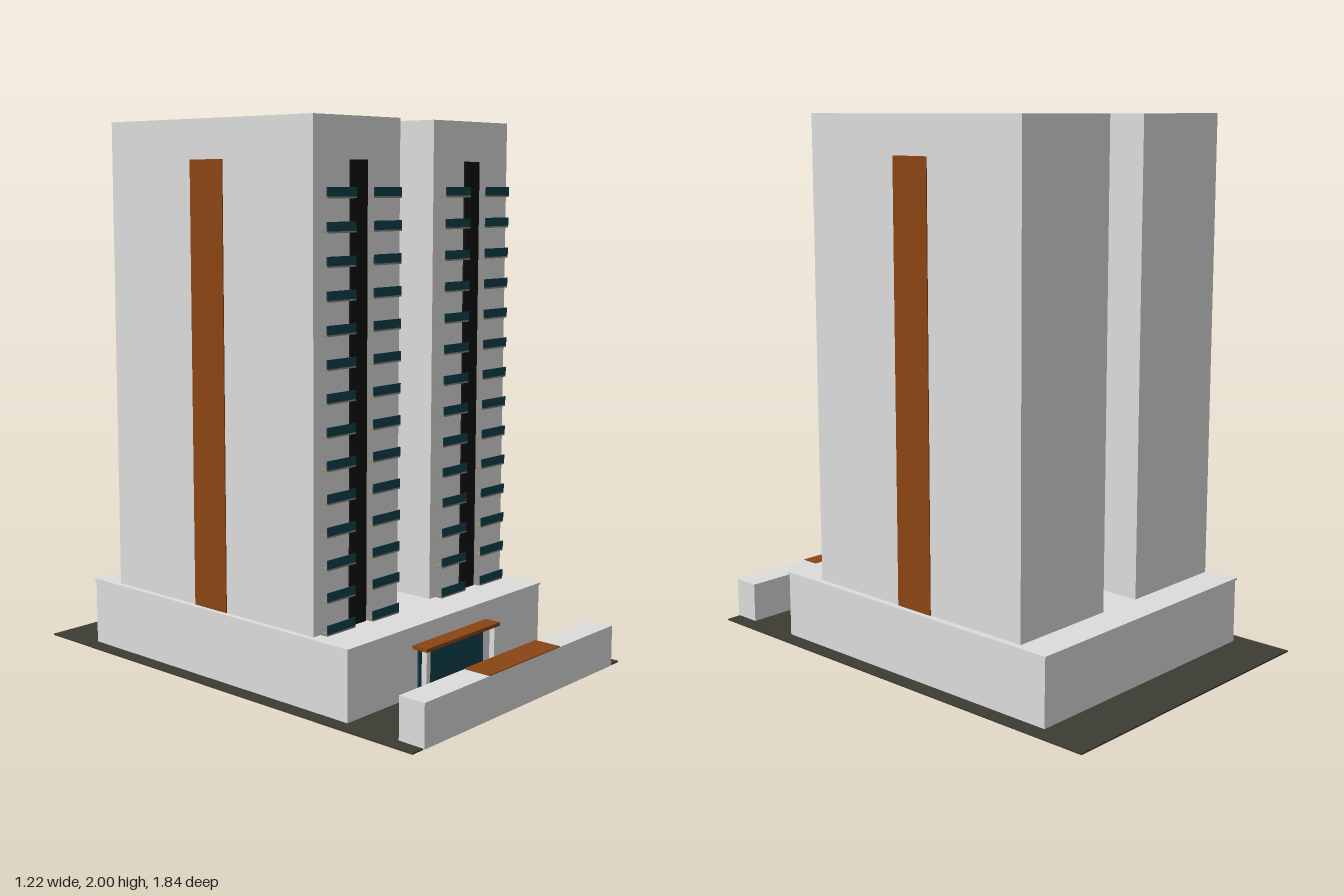
import * as THREE from 'three';

const paint = (name, color) => {
  const m = new THREE.MeshStandardMaterial({ color });
  m.name = name;
  return m;
};

export function createModel() {
  const concrete = paint('pale concrete', 0xdcdcdc);
  const asphalt = paint('dark paving', 0x3c3c33);
  const timber = paint('rust brown cladding', 0x8b4513);
  const glass = paint('teal glass', 0x103f4e);
  const black = paint('black glazing', 0x101010);
  const slab = paint('balcony stone', 0x8b8878);

  const model = new THREE.Group();
  model.name = 'twinTowerBuilding';

  // Box given by its minimum and maximum on each axis
  const box = (parent, name, material, [x0, x1], [y0, y1], [z0, z1]) => {
    const mesh = new THREE.Mesh(new THREE.BoxGeometry(x1 - x0, y1 - y0, z1 - z0), material);
    mesh.position.set((x0 + x1) / 2, (y0 + y1) / 2, (z0 + z1) / 2);
    mesh.name = name;
    parent.add(mesh);
    return mesh;
  };

  // Site and podium
  box(model, 'ground', asphalt, [-0.611, 0.611], [0.001, 0.006], [-0.92, 0.915]);
  box(model, 'podium', concrete, [-0.555, 0.55], [0, 0.252], [-0.712, 0.593]);
  box(model, 'podiumRoof', concrete, [-0.559, 0.555], [0.252, 0.26], [-0.718, 0.597]);

  // Street wall with its clad coping
  box(model, 'streetWall', concrete, [-0.557, 0.552], [0.003, 0.157], [0.815, 0.92]);
  box(model, 'wallCoping', timber, [-0.212, 0.207], [0.157, 0.16], [0.815, 0.92]);

  // Entrance: canopy, glass doors and posts
  const entrance = new THREE.Group();
  entrance.name = 'entrance';
  model.add(entrance);
  box(entrance, 'canopy', timber, [-0.215, 0.212], [0.179, 0.192], [0.593, 0.656]);
  box(entrance, 'doors', glass, [-0.188, 0.186], [0.006, 0.179], [0.593, 0.6]);
  for (const x of [-0.198, 0.196]) {
    box(entrance, 'post', concrete, [x - 0.01, x + 0.01], [0.006, 0.179], [0.628, 0.65]);
  }

  // One tower; side is the direction of its outer wall
  const makeTower = (name, x, side) => {
    const tower = new THREE.Group();
    tower.name = name;
    tower.position.x = x;
    box(tower, 'towerBody', concrete, [-0.22, 0.22], [0.26, 2], [-0.587, 0.423]);
    box(tower, 'frontGlazing', black, [-0.0425, 0.0425], [0.26, 1.856], [0.423, 0.43]);
    const stripe = box(tower, 'sideCladding', timber, [-0.002, 0.002], [0.26, 1.86], [-0.162, 0]);
    stripe.position.x = side * 0.222;

    // Balconies: stone floor and glass balustrade, two on each storey
    for (let i = 0; i < 14; i++) {
      const y = 0.262 + i * 0.1128;
      for (const s of [-1, 1]) {
        const cx = s * 0.1175;
        const span = [cx - 0.072, cx + 0.072];
        box(tower, 'balconyFloor', slab, span, [y, y + 0.006], [0.423, 0.458]);
        box(tower, 'balconyGlass', glass, span, [y + 0.006, y + 0.037], [0.455, 0.458]);
      }
    }
    model.add(tower);
  };
  makeTower('rightTower', -0.316, -1);
  makeTower('leftTower', 0.31, 1);

  return model;
}
